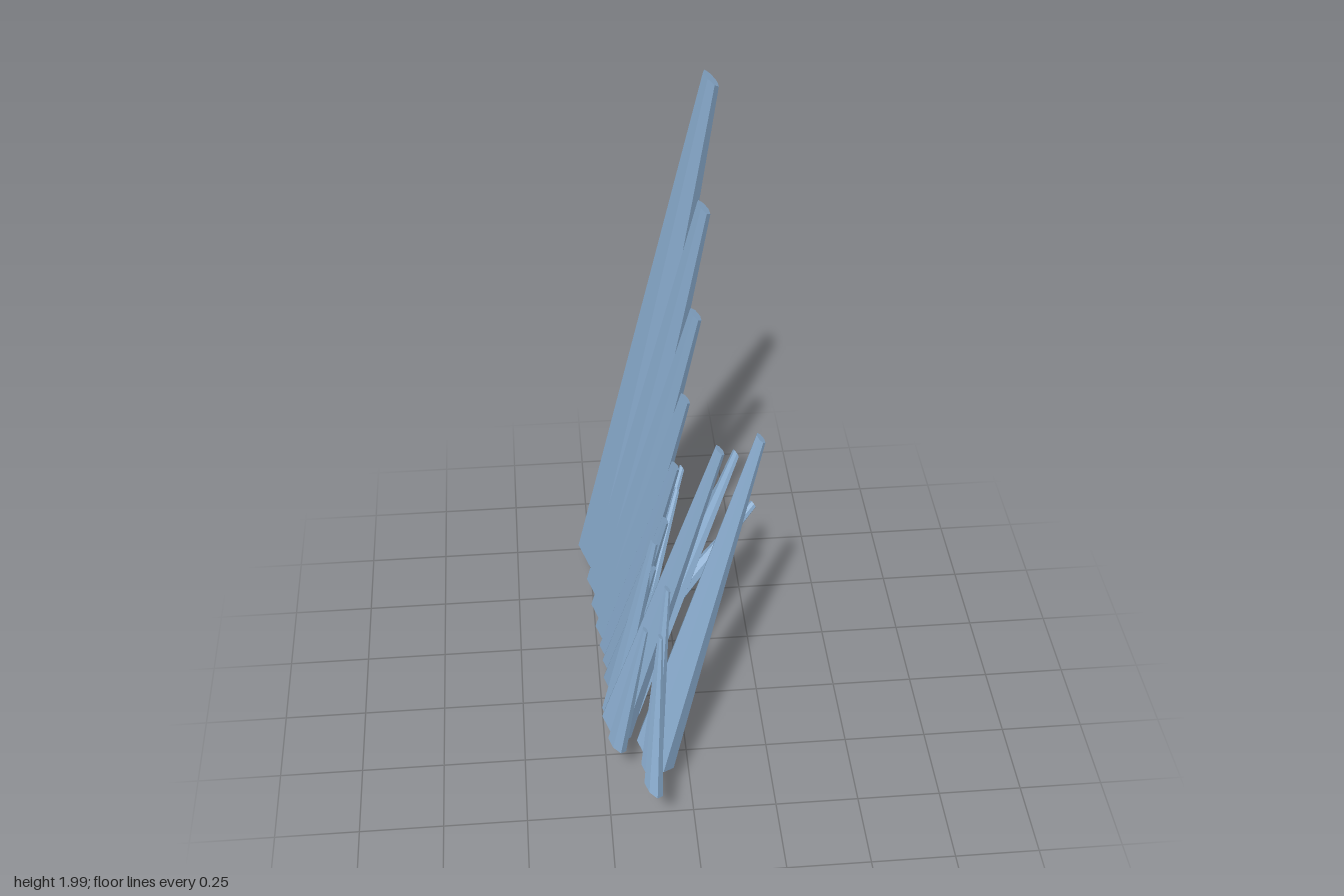
import * as THREE from 'three';

const SIDES = 7;

// Tapered quill: both end rings lie in planes with the given normal, so the shaft is sheared
function quill(base, tip, baseRadius, tipRadius, normal) {
  const n = new THREE.Vector3(...normal).normalize();
  const u = n.clone().cross(new THREE.Vector3(0, 0, 1)).normalize();
  const v = u.clone().cross(n);
  const a = new THREE.Vector3(...base), b = new THREE.Vector3(...tip);
  const geo = new THREE.CylinderGeometry(1, 1, 1, SIDES, 1, false, THREE.MathUtils.degToRad(122));
  const pos = geo.attributes.position;
  for (let i = 0; i < pos.count; i++) {
    const t = pos.getY(i) + 0.5;
    const r = baseRadius + (tipRadius - baseRadius) * t;
    const p = a.clone().lerp(b, t)
      .addScaledVector(u, pos.getX(i) * r)
      .addScaledVector(v, pos.getZ(i) * r);
    pos.setXYZ(i, p.x, p.y, p.z);
  }
  geo.computeVertexNormals();
  return geo;
}

export function createModel() {
  const group = new THREE.Group();
  const blue = new THREE.MeshStandardMaterial({ color: 0x88aacc, flatShading: true });
  blue.name = 'steel blue';

  // Each entry: base centre, tip centre, base radius, tip radius
  const sets = {
    // long row, shrinking from back to front
    mainQuill: {
      normal: [1, 1, 0],
      list: [
        [[-0.2, 0.11, -0.555], [0.125, 1.975, -0.405], 0.13, 0.032],
        [[-0.205, 0.125, -0.385], [0.09, 1.665, -0.23], 0.095, 0.027],
        [[-0.21, 0.14, -0.255], [0.055, 1.4, -0.09], 0.077, 0.024],
        [[-0.21, 0.15, -0.145], [0.016, 1.185, 0.016], 0.066, 0.02],
        [[-0.21, 0.16, -0.05], [-0.02, 1.01, 0.1], 0.055, 0.017],
        [[-0.21, 0.17, 0.025], [-0.055, 0.86, 0.16], 0.047, 0.014],
        [[-0.215, 0.17, 0.1], [-0.095, 0.74, 0.225], 0.042, 0.012],
        [[-0.225, 0.17, 0.235], [-0.09, 0.825, 0.21], 0.045, 0.014],
      ],
    },
    // separate group towards the front
    frontQuill: {
      normal: [1, 1, 0],
      list: [
        [[-0.215, 0.17, 0.28], [0.09, 1.18, 0.26], 0.062, 0.018],
        [[-0.22, 0.2, 0.39], [-0.13, 0.63, 0.37], 0.038, 0.011],
        [[-0.11, 0.22, 0.45], [0.204, 1.21, 0.255], 0.078, 0.018],
        [[-0.13, 0.26, 0.565], [-0.07, 0.825, 0.42], 0.043, 0.012],
        [[-0.13, 0.265, 0.64], [-0.095, 0.71, 0.49], 0.038, 0.01],
      ],
    },
    // low barbs sweeping backwards
    lowQuill: {
      normal: [0.85, 0.35, -0.4],
      list: [
        [[-0.17, 0.17, 0.19], [0.18, 0.89, -0.1], 0.055, 0.015],
        [[-0.2, 0.13, 0.17], [0.0, 0.735, -0.23], 0.045, 0.013],
        [[-0.2, 0.1, 0.16], [0.02, 0.605, -0.3], 0.042, 0.012],
        [[-0.2, 0.09, 0.06], [0.045, 0.615, -0.4], 0.042, 0.012],
        [[-0.2, 0.07, -0.01], [0.175, 0.515, -0.435], 0.042, 0.013],
        [[-0.2, 0.047, -0.1], [0.285, 0.405, -0.455], 0.045, 0.014],
      ],
    },
  };

  for (const [name, { normal, list }] of Object.entries(sets)) {
    const set = new THREE.Group();
    set.name = name + 'Set';
    list.forEach(([base, tip, r0, r1], i) => {
      const mesh = new THREE.Mesh(quill(base, tip, r0, r1, normal), blue);
      mesh.name = name + (i + 1);
      set.add(mesh);
    });
    group.add(set);
  }
  return group;
}
